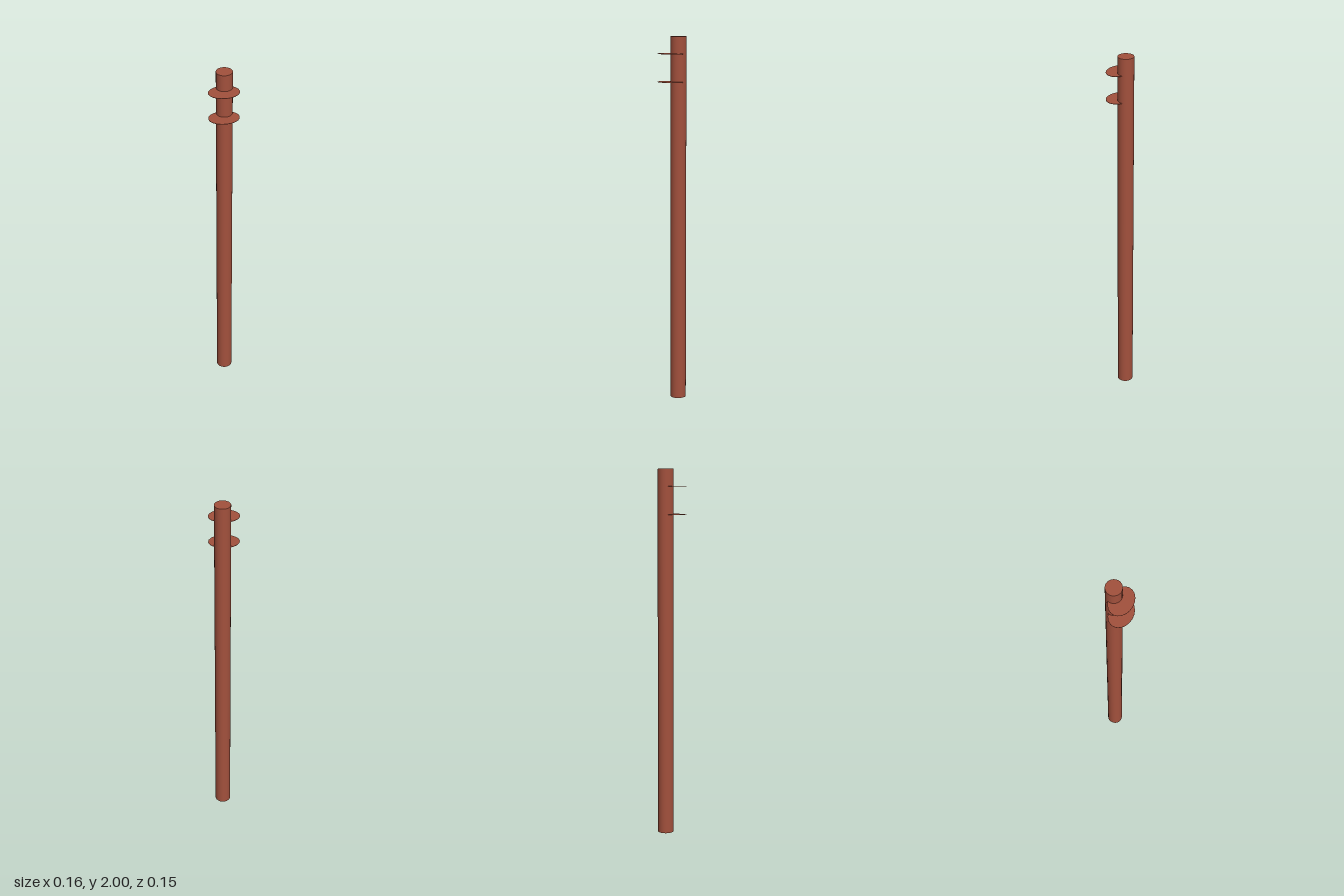
import * as THREE from 'three';

export function createModel() {
  const model = new THREE.Group();
  model.name = 'pole';
  const rust = new THREE.MeshStandardMaterial({ color: 0xa3513d });
  rust.name = 'rust brown';

  // Upright post, set slightly behind the discs
  const post = new THREE.Mesh(new THREE.CylinderGeometry(0.043, 0.043, 2, 24), rust);
  post.name = 'post';
  post.position.set(0.01, 1, -0.033);
  model.add(post);

  // Two thin oval discs near the top
  const discShape = new THREE.CylinderGeometry(1, 1, 0.002, 20);
  [['upperDisc', 1.908], ['lowerDisc', 1.758]].forEach(([name, y]) => {
    const disc = new THREE.Mesh(discShape, rust);
    disc.name = name;
    disc.scale.set(0.081, 1, 0.062);
    disc.position.set(0, y, 0.013);
    model.add(disc);
  });

  return model;
}
